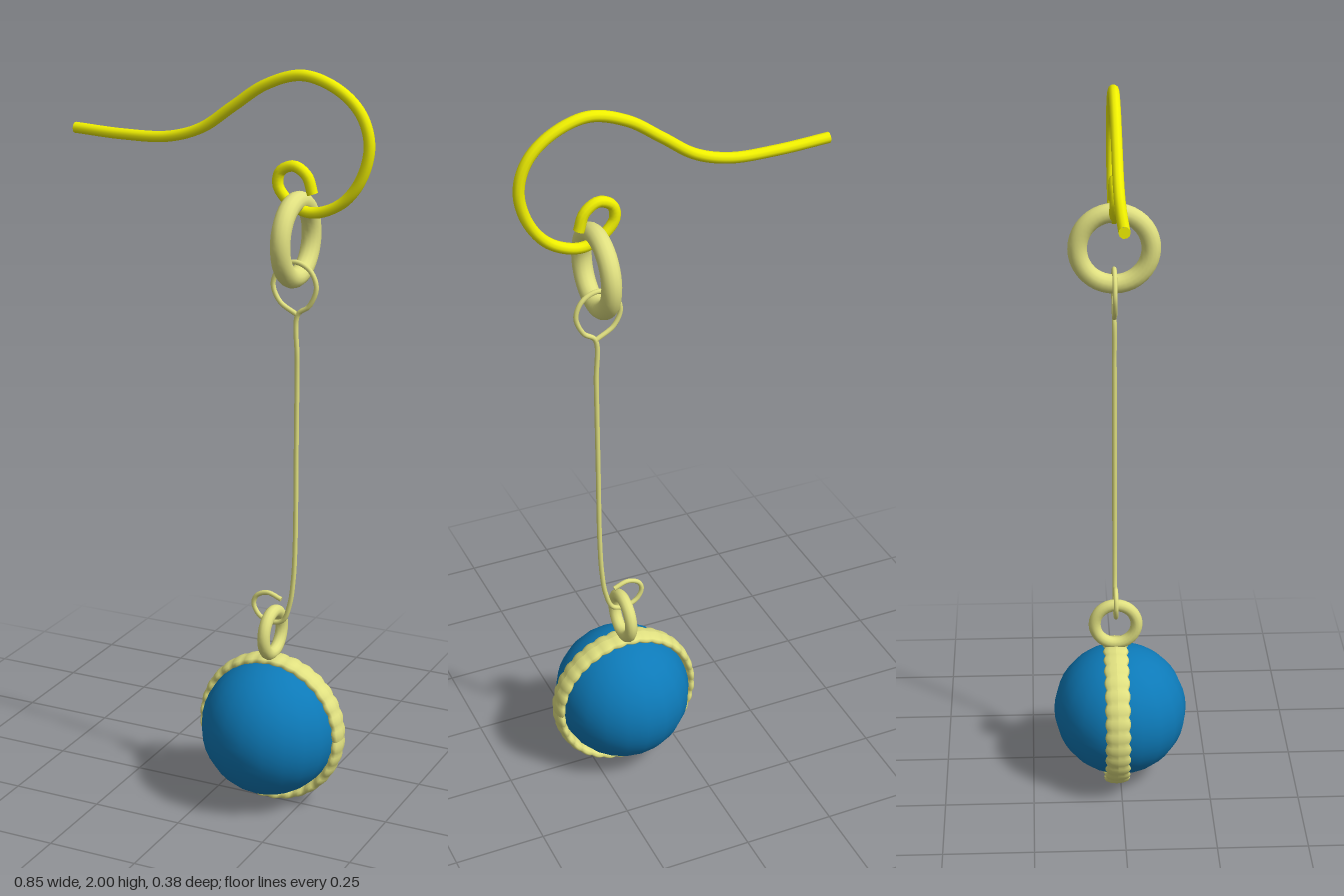
import * as THREE from 'three';

const Z = -0.0125; // plane of the wire work, slightly behind the ball's centre
const material = (color) => new THREE.MeshStandardMaterial({ color });

function addMesh(parent, name, geometry, mat, x = 0, y = 0, z = Z) {
  const mesh = new THREE.Mesh(geometry, mat);
  mesh.name = name;
  mesh.position.set(x, y, z);
  parent.add(mesh);
  return mesh;
}

// Round wire bent through a list of [x, y] points, with capped ends
function addWire(parent, name, points, radius, segments, mat) {
  const path = new THREE.CatmullRomCurve3(points.map(([x, y]) => new THREE.Vector3(x, y, 0)));
  const group = new THREE.Group();
  group.name = name;
  parent.add(group);
  addMesh(group, name + 'Tube', new THREE.TubeGeometry(path, segments, radius, 10), mat);
  for (const t of [0, 1]) {
    const p = path.getPoint(t);
    const cap = addMesh(group, name + 'End', new THREE.CircleGeometry(radius, 10), mat, p.x, p.y);
    const outward = path.getTangent(t).multiplyScalar(t ? 1 : -1);
    cap.quaternion.setFromUnitVectors(new THREE.Vector3(0, 0, 1), outward);
  }
}

// Torus reshaped into a band of barrel-shaped beads with an oval section
function beadedBand(radius, thickness, halfWidth, beads) {
  const geometry = new THREE.TorusGeometry(radius, thickness, 12, beads * 5);
  const { position, uv } = geometry.attributes;
  for (let i = 0; i < position.count; i++) {
    const angle = uv.getX(i) * Math.PI * 2;
    const section = uv.getY(i) * Math.PI * 2;
    const bulge = 0.84 + 0.16 * Math.abs(Math.sin(angle * beads / 2));
    const r = radius + thickness * bulge * Math.cos(section);
    position.setXYZ(i, r * Math.cos(angle), r * Math.sin(angle), halfWidth * bulge * Math.sin(section));
  }
  geometry.computeVertexNormals();
  return geometry;
}

export function createModel() {
  const model = new THREE.Group();
  model.name = 'earring';
  const gold = material(0xf0f000);
  const paleGold = material(0xe0e080);
  const blue = material(0x0d7ab8);

  // Ball and the beaded band around it
  addMesh(model, 'ball', new THREE.SphereGeometry(0.188, 20, 20), blue, 0.156, 0.217, 0);
  addMesh(model, 'beadedBand', beadedBand(0.197, 0.014, 0.036, 32), paleGold, 0.156, 0.212);

  // Rings standing across the wire
  const bail = addMesh(model, 'bailRing', new THREE.TorusGeometry(0.059, 0.017, 12, 32), paleGold, 0.156, 0.486);
  const link = addMesh(model, 'linkRing', new THREE.TorusGeometry(0.098, 0.026, 14, 40), paleGold, 0.212, 1.57);
  bail.rotation.y = link.rotation.y = Math.PI / 2;

  // Thin drop wire: small curl at the bottom, straight stem, closed eye at the top
  addWire(model, 'dropWire', [
    [0.18, 0.585], [0.14, 0.598], [0.108, 0.585], [0.099, 0.56], [0.115, 0.53],
    [0.15, 0.516], [0.185, 0.525], [0.205, 0.575], [0.215, 0.65], [0.219, 0.75],
    [0.219, 1.0], [0.219, 1.25], [0.219, 1.375], [0.25, 1.4], [0.27, 1.45],
    [0.252, 1.493], [0.21, 1.512], [0.168, 1.493], [0.149, 1.45], [0.168, 1.405], [0.216, 1.375],
  ], 0.0065, 200, paleGold);

  // Ear hook: long tail, rounded arch and a curl holding the link ring
  addWire(model, 'earHook', [
    [-0.425, 1.81], [-0.283, 1.803], [-0.15, 1.807], [-0.055, 1.836], [0.034, 1.897],
    [0.124, 1.957], [0.225, 1.986], [0.32, 1.957], [0.383, 1.9], [0.407, 1.825],
    [0.388, 1.741], [0.34, 1.677], [0.277, 1.646], [0.235, 1.645], [0.193, 1.665],
    [0.161, 1.704], [0.166, 1.741], [0.203, 1.758], [0.24, 1.735], [0.256, 1.69],
  ], 0.0145, 140, gold);

  return model;
}
